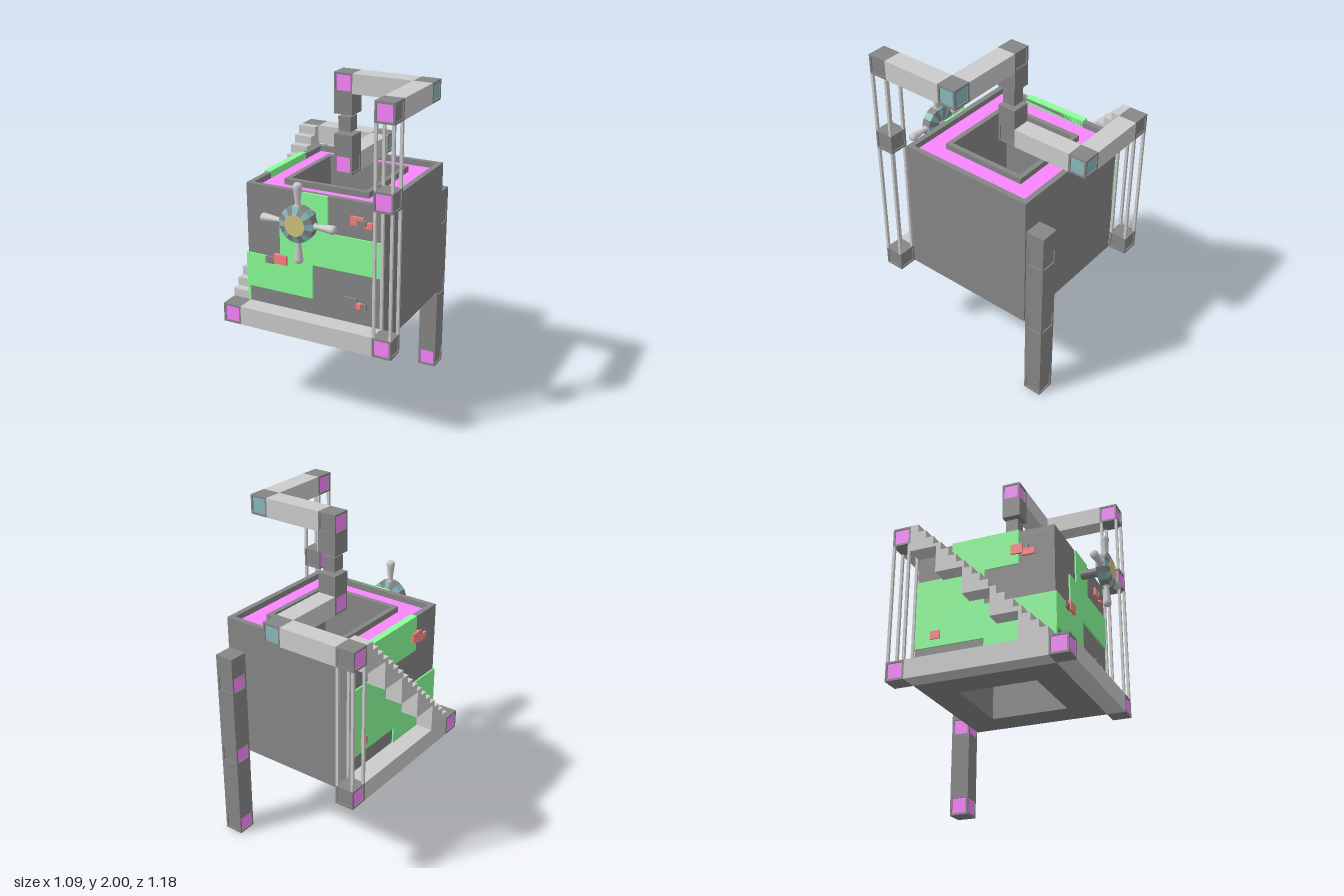
import * as THREE from 'three';

const mat = (color, opts = {}) => new THREE.MeshStandardMaterial({ color, ...opts });

export function createModel() {
  const root = new THREE.Group();
  const light = mat(0xcccccc), dark = mat(0x868686), magenta = mat(0xfa86ff), teal = mat(0x87b9bb);
  const green = mat(0x8aff98), red = mat(0xff8282), tan = mat(0xd2c47e);
  const J = 0.116, H = J / 2; // joint size and half size

  const add = (name, geo, material, parent = root) => {
    const m = new THREE.Mesh(geo, material);
    m.name = name;
    parent.add(m);
    return m;
  };
  // Box given by its limits on each axis
  const box = (name, material, x0, x1, y0, y1, z0, z1, parent = root) => {
    const m = add(name, new THREE.BoxGeometry(x1 - x0, y1 - y0, z1 - z0), material, parent);
    m.position.set((x0 + x1) / 2, (y0 + y1) / 2, (z0 + z1) / 2);
    return m;
  };
  // Square ring around the body axis, from y0 to y1
  const ring = (name, material, outer, inner, y0, y1) => {
    const s = new THREE.Shape(), h = new THREE.Path();
    const square = (p, r) => p.moveTo(-r, -r).lineTo(r, -r).lineTo(r, r).lineTo(-r, r).closePath();
    square(s, outer);
    square(h, inner);
    s.holes.push(h);
    const geo = new THREE.ExtrudeGeometry(s, { depth: y1 - y0, bevelEnabled: false });
    geo.rotateX(-Math.PI / 2);
    add(name, geo, material).position.set(0, y0, -0.0425);
  };

  // Hollow block with two raised rims and a coloured floor between them
  ring('body', dark, 0.4275, 0.24, 0.55, 1.36);
  ring('bodyFloor', magenta, 0.396, 0.268, 1.36, 1.365);
  ring('outerRim', dark, 0.4275, 0.395, 1.36, 1.4);
  ring('innerRim', dark, 0.27, 0.24, 1.36, 1.4);

  // Joint cube: recessed side panels inside a frame of twelve bars
  const joint = (x, y, z, turning = false) => {
    const g = new THREE.Group();
    g.name = 'joint';
    g.position.set(x, y, z);
    const outer = turning ? teal : dark;
    add('jointPanels', new THREE.BoxGeometry(J - 0.014, J - 0.001, J - 0.014),
      [outer, magenta, dark, dark, magenta, outer], g);
    const t = 0.012, o = H - t / 2;
    for (const a of [-o, o]) for (const b of [-o, o]) {
      add('jointFrame', new THREE.BoxGeometry(J, t, t), dark, g).position.set(0, a, b);
      add('jointFrame', new THREE.BoxGeometry(t, J, t), dark, g).position.set(a, 0, b);
      add('jointFrame', new THREE.BoxGeometry(t, t, J), dark, g).position.set(a, b, 0);
    }
    root.add(g);
  };
  const X = 0.485, F = 0.442, B = -0.53, M = -0.042; // column lines
  const LOW = 0.608, MID = 1.462, TOP = 1.942; // joint levels
  const joints = [
    [-X, LOW, F], [X, LOW, F], [-X, LOW, B], [-X, MID, B], [0, MID, B, true], [0, MID, M],
    [0, TOP, M], [X, TOP, M, true], [X, TOP, F], [X, MID, F],
    [0.362, H, B], [0.362, 0.555, B], [0.362, 1.035, B],
  ];
  joints.forEach((j) => joint(...j));

  // Walkway beams between joints, along x or along z
  const beamX = (x0, x1, y, z) => box('beam', light, x0 + H, x1 - H, y - H, y + H, z - H, z + H);
  const beamZ = (x, y, z0, z1) => box('beam', light, x - H, x + H, y - H, y + H, z0 + H, z1 - H);
  beamX(-X, X, LOW, F);
  beamZ(-X, LOW, B, F);
  beamX(-X, 0, MID, B);
  beamZ(0, MID, B, M);
  beamX(0, X, TOP, M);
  beamZ(X, TOP, M, F);

  // Open columns of four thin posts
  const posts = (x, z, y0, y1) => {
    for (const a of [-0.05, 0.05]) for (const b of [-0.05, 0.05])
      box('post', light, x + a - 0.008, x + a + 0.008, y0 + H, y1 - H, z + b - 0.008, z + b + 0.008);
  };
  posts(X, F, LOW, MID);
  posts(X, F, MID, TOP);
  posts(-X, B, LOW, MID);

  // Solid back pillar between its joints
  for (const [a, b] of [[J, 0.497], [0.613, 0.977], [1.093, 1.21]])
    box('pillar', dark, 0.362 - H, 0.362 + H, a, b, B - H, B + H);

  // Split centre column with a floating middle block
  for (const [a, b, r] of [[MID + H, 1.64, H], [1.657, 1.743, 0.04], [1.76, TOP - H, H]])
    box('centreColumn', dark, -r, r, a, b, M - r, M + r);

  // Stair: fine steps on top, five large wedges underneath
  const stair = new THREE.Shape();
  const z0 = F - H, z1 = B + H, y0 = LOW + H, y1 = MID + H, N = 17, W = 5;
  const zAt = (t) => z0 + (z1 - z0) * t, yAt = (t) => y0 + (y1 - y0) * t;
  stair.moveTo(-z0, y0);
  for (let i = 0; i < N; i++) {
    stair.lineTo(-zAt(i / N), yAt((i + 1) / N));
    stair.lineTo(-zAt((i + 1) / N), yAt((i + 1) / N));
  }
  for (let i = W - 1; i >= 0; i--) {
    stair.lineTo(-zAt((i + 1) / W), yAt(i / W));
    if (i) stair.lineTo(-zAt(i / W), yAt(i / W));
  }
  const stairGeo = new THREE.ExtrudeGeometry(stair, { depth: J, bevelEnabled: false });
  stairGeo.rotateY(Math.PI / 2);
  add('stairs', stairGeo, light).position.x = -X - H;

  // Green cladding on the front and on the stair side
  box('frontPanel', green, -0.1, 0.1, 1.185, 1.4, 0.38, 0.394);
  box('frontPanel', green, -0.21, 0.425, 0.975, 1.185, 0.38, 0.394);
  box('frontPanel', green, -0.437, 0, 0.765, 0.975, 0.38, 0.394);
  box('sidePanel', green, -0.437, -0.395, 1.19, 1.408, -0.25, 0.17);
  box('sidePanel', green, -0.437, -0.42, 0.765, 1.19, -0.47, -0.04);
  box('sidePanel', green, -0.437, -0.42, 0.66, 0.975, -0.04, 0.392);

  // Loose bricks: material, limits along the wall, height limits, depth
  const frontBricks = [
    [red, 0.24, 0.32, 1.265, 1.315, 0.398], [dark, 0.285, 0.34, 1.27, 1.3, 0.408],
    [red, 0.325, 0.375, 1.257, 1.292, 0.4], [red, -0.245, -0.163, 0.943, 1.0, 0.408],
    [dark, -0.305, -0.245, 0.935, 0.975, 0.402], [dark, 0.207, 0.285, 0.775, 0.825, 0.4],
    [red, 0.28, 0.31, 0.77, 0.802, 0.408], [dark, 0.31, 0.34, 0.765, 0.8, 0.398],
  ];
  for (const [m, a, b, c, d, z] of frontBricks) box('frontBrick', m, a, b, c, d, 0.38, z);
  const sideBricks = [
    [red, 0.125, 0.195, 1.25, 1.31, 0.447], [red, 0.19, 0.27, 1.235, 1.275, 0.442],
    [dark, 0.17, 0.23, 1.26, 1.3, 0.44], [red, -0.37, -0.31, 0.81, 0.86, 0.445],
  ];
  for (const [m, a, b, c, d, x] of sideBricks) box('sideBrick', m, -x, -0.42, c, d, a, b);

  // Valve wheel on an axle: hub in alternating sectors, four flared handles
  const wheel = new THREE.Group();
  wheel.name = 'valveWheel';
  wheel.position.set(0, 1.28, 0.545);
  root.add(wheel);
  const axle = add('axle', new THREE.CylinderGeometry(0.028, 0.028, 0.17, 16), dark, wheel);
  axle.rotation.x = Math.PI / 2;
  axle.position.z = -0.085;
  const v = (x, y) => new THREE.Vector2(x, y);
  const hubProfile = [v(0, -0.042), v(0.06, -0.042), v(0.105, -0.03), v(0.105, 0.026), v(0.062, 0.042), v(0, 0.042)];
  const S = 16, step = (Math.PI * 2) / S;
  const hubMats = [0x87b9bb, 0x868686].map((c) => mat(c, { flatShading: true, side: THREE.DoubleSide }));
  for (let i = 0; i < S; i++) {
    const sector = new THREE.LatheGeometry(hubProfile, 1, (i - 0.5) * step, step);
    sector.rotateX(Math.PI / 2);
    add('hubSector', sector, hubMats[i % 2], wheel);
  }
  const cap = add('hubCap', new THREE.CylinderGeometry(0.062, 0.062, 0.006, S), tan, wheel);
  cap.rotation.x = Math.PI / 2;
  cap.position.z = 0.041;
  const handleProfile = [v(0, 0.09), v(0.022, 0.09), v(0.022, 0.105), v(0.014, 0.115),
    v(0.025, 0.205), v(0.025, 0.22), v(0.018, 0.23), v(0, 0.231)];
  for (let i = 0; i < 4; i++)
    add('handle', new THREE.LatheGeometry(handleProfile, 12), light, wheel).rotation.z = (i * Math.PI) / 2;

  return root;
}
